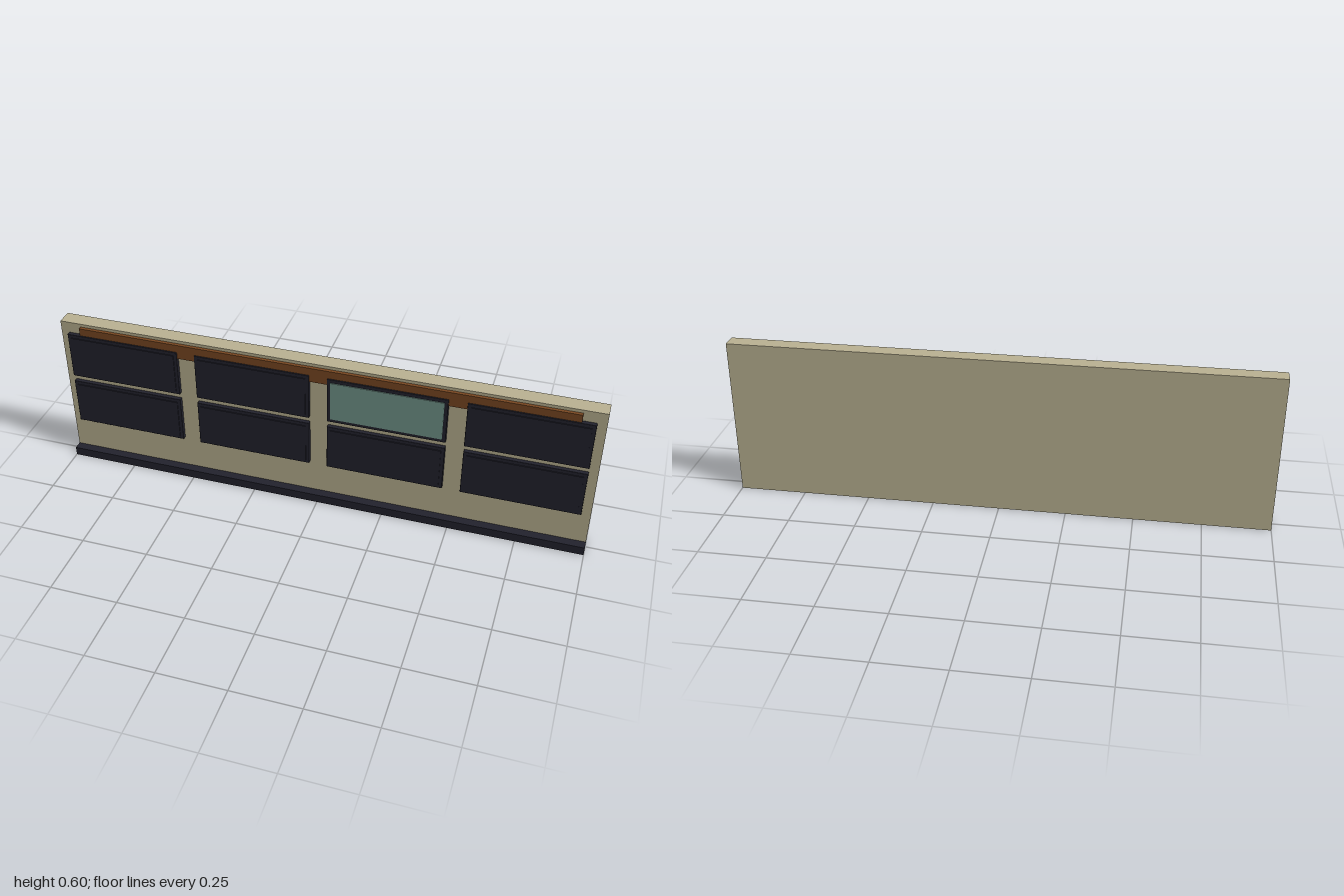
import * as THREE from 'three';
import { RoundedBoxGeometry } from 'three/addons/geometries/RoundedBoxGeometry.js';

const material = (name, color) => {
  const m = new THREE.MeshStandardMaterial({ color });
  m.name = name;
  return m;
};

export function createModel() {
  const group = new THREE.Group();
  group.name = 'wallWithPanels';
  const plaster = material('beige plaster', 0xbab292);
  const dark = material('dark navy', 0x22222d);
  const wood = material('brown wood', 0x7a4822);
  const glass = material('pale teal glass', 0x73968b);

  // Box given by its limits along each axis; bevel rounds the edges slightly
  const box = (name, mat, [x0, x1], [y0, y1], [z0, z1], bevel = 0) => {
    const size = [x1 - x0, y1 - y0, z1 - z0];
    const geometry = bevel
      ? new RoundedBoxGeometry(...size, 1, bevel)
      : new THREE.BoxGeometry(...size);
    const mesh = new THREE.Mesh(geometry, mat);
    mesh.name = name;
    mesh.position.set((x0 + x1) / 2, (y0 + y1) / 2, (z0 + z1) / 2);
    group.add(mesh);
  };

  const face = 0.013; // front surface of the wall
  box('wall', plaster, [-1, 1], [0, 0.602], [-0.046, face]);
  box('baseboard', dark, [-1, 1], [0, 0.034], [face, 0.046]);
  box('topRail', wood, [-0.92, 0.917], [0.533, 0.59], [face, 0.026]);

  // Two rows of four framed panels, one of them glazed
  [0.468, 0.26].forEach((y, row) => {
    [-0.752, -0.251, 0.25, 0.75].forEach((x, column) => {
      const glazed = row === 0 && column === 2;
      box('panelFrame', dark, [x - 0.217, x + 0.217], [y - 0.092, y + 0.092], [face, 0.03], 0.002);
      box(glazed ? 'glassPane' : 'panelInset', glazed ? glass : dark,
        [x - 0.204, x + 0.204], [y - 0.078, y + 0.078], [0.028, 0.033]);
    });
  });
  return group;
}
